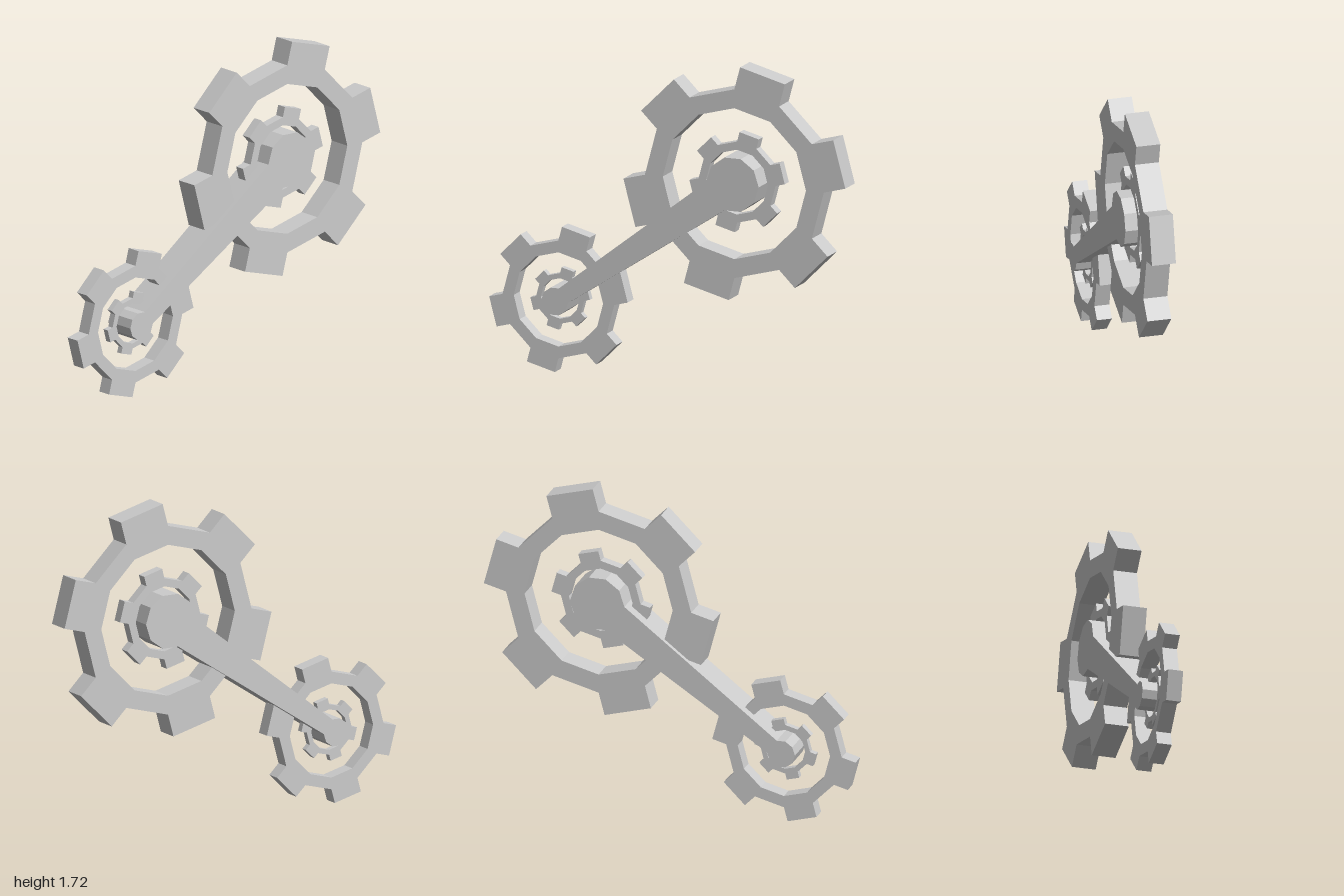
import * as THREE from 'three';

const material = new THREE.MeshStandardMaterial({ color: 0xcccccc, flatShading: true });
const BIG = { x: 0.38, y: 1.1, scale: 1, hub: 0.147 };
const SMALL = { x: -0.613, y: 0.387, scale: 0.624, hub: 0.075 };

const polar = (radius, degrees, cx = 0, cy = 0) => {
  const a = THREE.MathUtils.degToRad(degrees);
  return new THREE.Vector2(cx + radius * Math.cos(a), cy + radius * Math.sin(a));
};

// Flat outline extruded symmetrically about its own plane
function plate(name, shape, thickness) {
  const geometry = new THREE.ExtrudeGeometry(shape, { depth: thickness, bevelEnabled: false });
  geometry.translate(0, 0, -thickness / 2);
  const mesh = new THREE.Mesh(geometry, material);
  mesh.name = name;
  return mesh;
}

// Twelve-sided ring with a square tooth on every other side
function gear(name, { x, y }, scale) {
  const outer = 0.5, inner = 0.4, toothHeight = 0.124;
  const outline = [];
  for (let i = 0; i < 6; i++) {
    const start = polar(outer, i * 60), end = polar(outer, i * 60 + 30);
    const rise = polar(toothHeight, i * 60 + 15);
    outline.push(start, start.clone().add(rise), end.clone().add(rise), end);
  }
  const shape = new THREE.Shape(outline);
  const hole = Array.from({ length: 12 }, (_, i) => polar(inner, -i * 30));
  shape.holes.push(new THREE.Path(hole));
  const mesh = plate(name, shape, 0.127);
  mesh.scale.setScalar(scale);
  mesh.position.set(x, y, 0);
  return mesh;
}

// Two ten-sided hubs joined by a tapering bar, as one solid
function connectingArm() {
  const points = [];
  for (let a = 252; a <= 540; a += 36) points.push(polar(BIG.hub, a, BIG.x, BIG.y));
  for (let a = 72; a <= 360; a += 36) points.push(polar(SMALL.hub, a, SMALL.x, SMALL.y));
  return plate('connectingArm', new THREE.Shape(points), 0.177);
}

export function createModel() {
  const model = new THREE.Group();
  model.name = 'linkedGears';
  const innerRatio = 0.43;
  for (const [label, end] of [['large', BIG], ['small', SMALL]]) {
    model.add(gear(`${label}OuterGear`, end, end.scale));
    model.add(gear(`${label}InnerGear`, end, end.scale * innerRatio));
  }
  model.add(connectingArm());

  // Turn the drawing plane so the small gear points to the front
  model.rotation.y = Math.PI / 2;
  const root = new THREE.Group();
  root.name = 'gearLinkage';
  root.add(model);
  return root;
}
